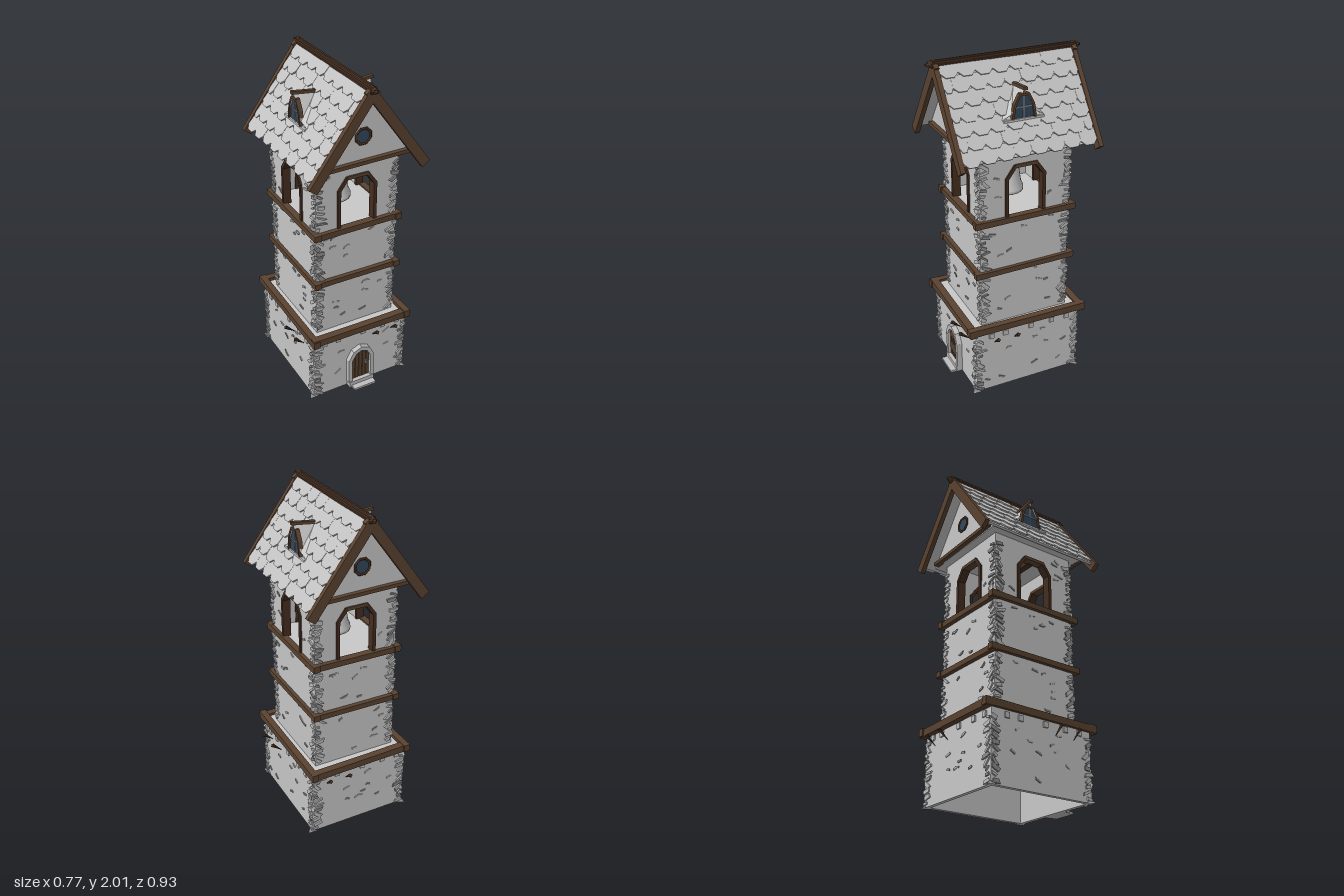
import * as THREE from 'three';
import { mergeGeometries } from 'three/addons/utils/BufferGeometryUtils.js';

const mat = (name, color, extra = {}) => Object.assign(new THREE.MeshStandardMaterial({ color, ...extra }), { name });
const both = { side: THREE.DoubleSide };

export function createModel() {
  const plaster = mat('plaster', 0xc8c8c8, both);
  const slate = mat('roof slate', 0xc2c2c2);
  const paleStone = mat('pale stone', 0xbebebe);
  const darkStone = mat('dark stone', 0x909090);
  const wood = mat('wood', 0x5a4230);
  const darkWood = mat('dark wood', 0x452e20);
  const glass = mat('glass', 0x33475a, both);
  const bellMetal = mat('bell metal', 0xcfcfcf, both);

  const model = new THREE.Group();
  let seed = 7;
  const rnd = (a, b) => {
    seed = (seed * 16807) % 2147483647;
    return a + (b - a) * seed / 2147483647;
  };
  const add = (parent, name, geo, material, x = 0, y = 0, z = 0) => {
    const m = new THREE.Mesh(geo, material);
    m.name = name;
    m.position.set(x, y, z);
    parent.add(m);
    return m;
  };
  const box = (parent, name, material, sx, sy, sz, x, y, z) =>
    add(parent, name, new THREE.BoxGeometry(sx, sy, sz), material, x, y, z);
  const group = (parent, name, ry = 0) => {
    const g = new THREE.Group();
    g.name = name;
    g.rotation.y = ry;
    parent.add(g);
    return g;
  };
  const polygon = pts => new THREE.Shape(pts.map(p => new THREE.Vector2(...p)));
  const extrude = (shape, depth) => new THREE.ExtrudeGeometry(shape, { depth, bevelEnabled: false });
  // straight timber between two points in the local xy plane
  const strut = (parent, name, material, a, b, width, depth, z) => {
    const dx = b[0] - a[0], dy = b[1] - a[1];
    const m = box(parent, name, material, Math.hypot(dx, dy) + width * 0.3, width, depth, (a[0] + b[0]) / 2, (a[1] + b[1]) / 2, z);
    m.rotation.z = Math.atan2(dy, dx);
    return m;
  };

  // Hollow base with open bottom, then the shaft
  const baseShape = polygon([[-0.315, -0.34], [0.315, -0.34], [0.315, 0.34], [-0.315, 0.34]]);
  baseShape.holes.push(polygon([[-0.29, -0.315], [-0.29, 0.315], [0.29, 0.315], [0.29, -0.315]]));
  add(model, 'baseWalls', extrude(baseShape, 0.42).rotateX(-Math.PI / 2), plaster);
  box(model, 'baseLedge', plaster, 0.63, 0.02, 0.68, 0, 0.425, 0);
  box(model, 'shaft', plaster, 0.52, 0.69, 0.56, 0, 0.775, 0);

  // Belfry walls with arched openings framed in timber
  const arch = [[-0.115, 1.125], [-0.115, 1.36], [-0.065, 1.43], [0.065, 1.43], [0.115, 1.36], [0.115, 1.125]];
  for (let k = 0; k < 4; k++) {
    const w = k % 2 ? 0.28 : 0.26, d = k % 2 ? 0.26 : 0.28;
    const side = group(model, 'belfrySide', k * Math.PI / 2);
    const wall = polygon([[-w, 1.12], [-w, 1.53], [w, 1.53], [w, 1.12], ...arch.slice().reverse()]);
    add(side, 'belfryWall', extrude(wall, 0.035), plaster, 0, 0, d - 0.035);
    for (let i = 0; i < 5; i++) strut(side, 'openingFrame', i === 2 ? wood : darkWood, arch[i], arch[i + 1], 0.02, 0.05, d - 0.015);
  }

  // Bell on its yoke
  const bellProfile = [[0.085, 1.18], [0.105, 1.17], [0.105, 1.19], [0.092, 1.22], [0.082, 1.29], [0.077, 1.35], [0.058, 1.395], [0, 1.415]];
  add(model, 'bell', new THREE.LatheGeometry(bellProfile.map(p => new THREE.Vector2(...p)), 20), bellMetal);
  box(model, 'bellYoke', darkWood, 0.46, 0.035, 0.04, 0, 1.435, 0);
  add(model, 'clapper', new THREE.SphereGeometry(0.022, 8, 6), darkStone, 0, 1.19, 0);

  // Timber bands: front and side beams, slightly crooked
  const beam = (parent, name, len, h, d, x, y, z, ry) => {
    const g = new THREE.BoxGeometry(len, h, d, 3, 1, 1), p = g.attributes.position;
    const skew = rnd(-0.006, 0.006);
    for (let i = 0; i < p.count; i++) {
      const t = 2 * p.getX(i) / len;
      p.setY(i, p.getY(i) * (0.9 + 0.15 * Math.abs(t)) + skew * t);
    }
    g.computeVertexNormals();
    add(parent, name, g.toNonIndexed(), wood, x, y, z).rotation.y = ry;
  };
  for (const [y, hx, hz, h] of [[0.43, 0.33, 0.385, 0.043], [0.785, 0.28, 0.315, 0.034], [1.11, 0.28, 0.315, 0.036]]) {
    const band = group(model, 'timberBand');
    for (const s of [-1, 1]) {
      beam(band, 'frontBeam', hx * 2, h, 0.045, 0, y, s * (hz - 0.03), 0);
      beam(band, 'sideBeam', hz * 2, h, 0.04, s * (hx - 0.018), y + 0.002, 0, Math.PI / 2);
    }
  }

  // Rough corner stones and scattered bricks on each face
  const stoneParts = [[], []];
  const stone = (k, u, y, d, w, h, t, tilt, shade) => {
    const g = new THREE.BoxGeometry(w, h, t), p = g.attributes.position, lean = rnd(-0.3, 0.3);
    for (let i = 0; i < p.count; i++) p.setX(i, p.getX(i) * (1 + lean * Math.sign(p.getY(i))));
    stoneParts[shade].push(g.rotateZ(tilt).translate(u, y, d).rotateY(k * Math.PI / 2));
  };
  const sections = [[0.315, 0.34, 0.02, 0.38, 9, 0], [0.26, 0.28, 0.47, 0.76, 7, 0], [0.26, 0.28, 0.82, 1.08, 6, 0], [0.26, 0.28, 1.15, 1.48, 10, 0.15]];
  for (const [hx, hz, y0, y1, count, gap] of sections) for (let k = 0; k < 4; k++) {
    const w = k % 2 ? hz : hx, d = k % 2 ? hx : hz;
    for (const s of [-1, 1]) for (let y = y0; y < y1; y += 0.034) {
      const len = rnd(0.025, 0.06);
      stone(k, s * (w - len / 2 + rnd(-0.012, 0.008)), y, d, len, rnd(0.01, 0.026), 0.018, s * rnd(-0.3, 0.9), rnd(0, 1) < 0.35 ? 1 : 0);
    }
    const clear = k === 0 && y0 < 0.1 ? 0.12 : gap;
    for (let i = 0; i < count; i++) {
      const u = rnd(-1, 1) * (w - 0.07);
      if (Math.abs(u) > clear) stone(k, u, rnd(y0, y1), d, rnd(0.025, 0.045), 0.012, 0.01, rnd(-0.5, 0.6), i % 2);
    }
  }
  add(model, 'paleStones', mergeGeometries(stoneParts[0]), paleStone);
  add(model, 'darkStones', mergeGeometries(stoneParts[1]), darkStone);

  // Small blocks and pointed pegs under the lowest band, wedges on the ground
  for (let k = 0; k < 4; k++) {
    const side = group(model, 'baseTrim', k * Math.PI / 2), d = k % 2 ? 0.315 : 0.34;
    for (const u of [-0.24, -0.15, 0.02, 0.16, 0.26]) box(side, 'block', paleStone, 0.03, 0.033, 0.02, u, 0.385, d);
    for (const u of k === 0 || k === 3 ? [0.09, 0.22] : [-0.22, -0.09]) {
      const peg = add(side, 'peg', new THREE.ConeGeometry(0.013, 0.085, 4), darkWood, u, 0.36, d + 0.03);
      peg.rotation.x = Math.PI + 0.85;
    }
    const wedge = add(side, 'groundWedge', new THREE.ConeGeometry(0.035, 0.018, 3), darkStone, d === 0.34 ? 0.31 : 0.33, 0.009, d);
    wedge.rotation.y = 0.5;
  }

  // Arched door with plank front, stone surround and step
  const door = group(model, 'door');
  const doorArc = [[-0.065, 0.04], [-0.065, 0.2], [-0.04, 0.255], [0, 0.275], [0.04, 0.255], [0.065, 0.2], [0.065, 0.04]];
  add(door, 'doorPanel', extrude(polygon(doorArc), 0.012), darkWood, 0, 0, 0.338);
  for (let i = -2; i <= 2; i++) {
    const h = 0.21 - Math.abs(i) * 0.018;
    box(door, 'doorPlank', wood, 0.021, h, 0.008, i * 0.025, 0.045 + h / 2, 0.353);
  }
  for (let i = 0; i < doorArc.length - 1; i++) {
    const a = doorArc[i].map((v, j) => j ? v : v * 1.18), b = doorArc[i + 1].map((v, j) => j ? v : v * 1.18);
    strut(door, 'doorSurround', paleStone, a, b, 0.025, 0.035, 0.355);
  }
  box(door, 'doorHandle', darkStone, 0.012, 0.025, 0.012, 0.035, 0.15, 0.36);
  box(door, 'upperStep', paleStone, 0.17, 0.04, 0.045, 0, 0.02, 0.355);
  box(door, 'lowerStep', paleStone, 0.15, 0.014, 0.09, 0.005, 0.007, 0.37);

  // Attic prism with gable beams and round windows
  const gable = polygon([[-0.315, 1.525], [0.315, 1.525], [0, 1.955]]);
  add(model, 'attic', extrude(gable, 0.66), plaster, 0, 0, -0.33);
  for (const ry of [0, Math.PI]) {
    const end = group(model, 'gableEnd', ry);
    strut(end, 'gableBeam', wood, [-0.28, 1.535], [0.28, 1.545], 0.022, 0.035, 0.34);
    add(end, 'roundWindow', new THREE.CylinderGeometry(0.046, 0.046, 0.009, 8).rotateY(Math.PI / 8).rotateX(Math.PI / 2), glass, 0, 1.69, 0.334);
    add(end, 'windowFrame', new THREE.TorusGeometry(0.047, 0.008, 4, 8).rotateZ(Math.PI / 8), darkWood, 0, 1.69, 0.338);
  }

  // Roof slopes, each with staggered shingles, bargeboards and a dormer
  const shingle = (w, L) => extrude(polygon([[0, -w / 2], [L * 0.72, -w / 2], [L, -w / 4], [L, w / 4], [L * 0.72, w / 2], [0, w / 2]]), 0.009)
    .rotateX(-Math.PI / 2).rotateZ(0.09);
  for (const ry of [0, Math.PI]) {
    const half = group(model, 'roofHalf', ry);
    const slope = group(half, 'roofSlope');
    slope.position.y = 1.985;
    slope.rotation.z = -0.937;
    box(slope, 'roofDeck', slate, 0.57, 0.014, 0.8, 0.29, -0.012, 0);
    const tiles = [];
    for (let row = 0; row < 7; row++) {
      const odd = row % 2;
      for (let i = 0; i < 8 + odd; i++) {
        const edge = odd && (i === 0 || i === 8);
        const z = odd ? (i === 0 ? -0.375 : i === 8 ? 0.375 : (i - 4) * 0.1) : (i - 3.5) * 0.1;
        tiles.push(shingle(edge ? 0.05 : 0.1, 0.1 + rnd(-0.006, 0.003)).translate(row * 0.081 + 0.003, -0.007 + rnd(0, 0.003), z));
      }
    }
    add(slope, 'shingles', mergeGeometries(tiles), slate);
    for (const s of [-1, 1]) box(slope, 'bargeboard', wood, 0.62, 0.057, 0.028, 0.3, -0.016, s * 0.415);

    // Dormer: flared cheeks, ridge beam and leaded window
    const dormer = group(half, 'dormer');
    const A = [0.1, 1.85, 0], B = [0.24, 1.855, 0];
    for (const s of [-1, 1]) {
      const E = [0.235, 1.72, s * 0.075], C = [0.22, 1.68, s * 0.145];
      const g = new THREE.BufferGeometry();
      const pts = s > 0 ? [A, E, B, A, C, E] : [A, B, E, A, E, C];
      g.setAttribute('position', new THREE.Float32BufferAttribute(pts.flat(), 3));
      g.computeVertexNormals();
      add(dormer, 'dormerCheek', g, plaster);
    }
    strut(dormer, 'dormerRidge', wood, [0.1, 1.845], [0.25, 1.862], 0.018, 0.022, 0);
    const face = group(dormer, 'dormerFace', Math.PI / 2);
    const pane = [[-0.068, 1.69], [-0.055, 1.77], [-0.026, 1.825], [0.026, 1.825], [0.055, 1.77], [0.068, 1.69]];
    add(face, 'dormerWindow', extrude(polygon(pane), 0.008), glass, 0, 0, 0.222);
    for (let i = 0; i < 5; i++) strut(face, 'dormerFrame', wood, pane[i], pane[i + 1], 0.013, 0.026, 0.228);
    strut(face, 'dormerSill', plaster, [-0.12, 1.685], [0.12, 1.685], 0.012, 0.02, 0.228);
    box(face, 'glazingBar', darkStone, 0.006, 0.13, 0.006, 0, 1.757, 0.231);
    box(face, 'glazingBar', darkStone, 0.115, 0.006, 0.006, 0, 1.755, 0.231);
  }

  // Ridge beam with pointed ends
  const ridge = new THREE.BoxGeometry(0.036, 0.034, 0.86);
  add(model, 'ridgeBeam', ridge, darkWood, 0, 1.979, 0);
  for (const s of [-1, 1]) {
    const tip = add(model, 'ridgeTip', new THREE.CylinderGeometry(0.006, 0.0255, 0.035, 4).rotateY(Math.PI / 4), darkWood, 0, 1.979, s * 0.4475);
    tip.rotation.x = s * Math.PI / 2;
  }
  const cap = add(model, 'ridgeCap', extrude(polygon([[-0.02, 1.98], [0.02, 1.98], [0, 2]]), 0.9), wood, 0, 0, -0.45);
  cap.castShadow = false;
  return model;
}
